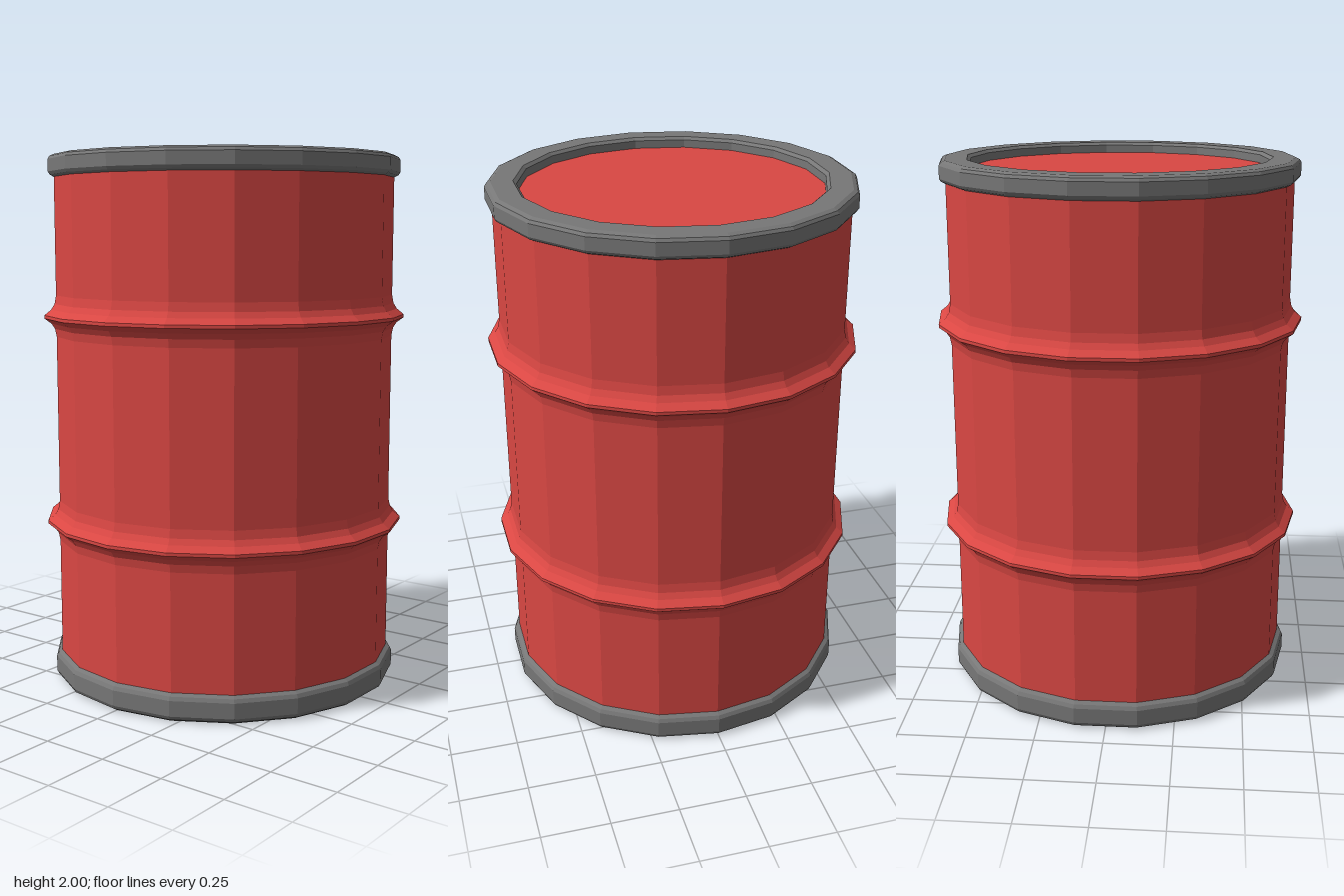
import * as THREE from 'three';

const SIDES = 18;
const red = new THREE.MeshStandardMaterial({ color: 0xd94743, flatShading: true });
const grey = new THREE.MeshStandardMaterial({ color: 0x777777, flatShading: true });

// Faceted solid of revolution; points run up the outside
function turned(name, points, material) {
  const profile = points.map(([r, y]) => new THREE.Vector2(r, y));
  const mesh = new THREE.Mesh(new THREE.LatheGeometry(profile, SIDES), material);
  mesh.name = name;
  return mesh;
}

// Flared hoop pressed into the wall around height y
const hoop = (y) => [
  [0.645, y - 0.075], [0.651, y - 0.045], [0.664, y - 0.025], [0.69, y - 0.006],
  [0.69, y + 0.006], [0.664, y + 0.027], [0.651, y + 0.048], [0.645, y + 0.08],
];

// Closed ring with rounded outer and bevelled inner edges
function rim(name, y0, y1) {
  const h = y1 - y0;
  const b = h * 0.22;
  return turned(name, [
    [0.565, y0], [0.645, y0], [0.66, y0 + b * 0.4], [0.667, y0 + b],
    [0.667, y1 - b], [0.66, y1 - b * 0.4], [0.645, y1], [0.565, y1],
    [0.553, y1 - b * 0.6], [0.551, y0 + b * 0.6], [0.565, y0],
  ], grey);
}

export function createModel() {
  const group = new THREE.Group();
  group.name = 'barrel';

  // Drum wall with two hoops and recessed end plates
  group.add(turned('drumBody', [
    [0, 0.045], [0.645, 0.045], ...hoop(0.615), ...hoop(1.4), [0.645, 1.96], [0, 1.96],
  ], red));

  // End rims
  group.add(rim('bottomRim', 0, 0.103));
  group.add(rim('topRim', 1.918, 2));
  return group;
}
